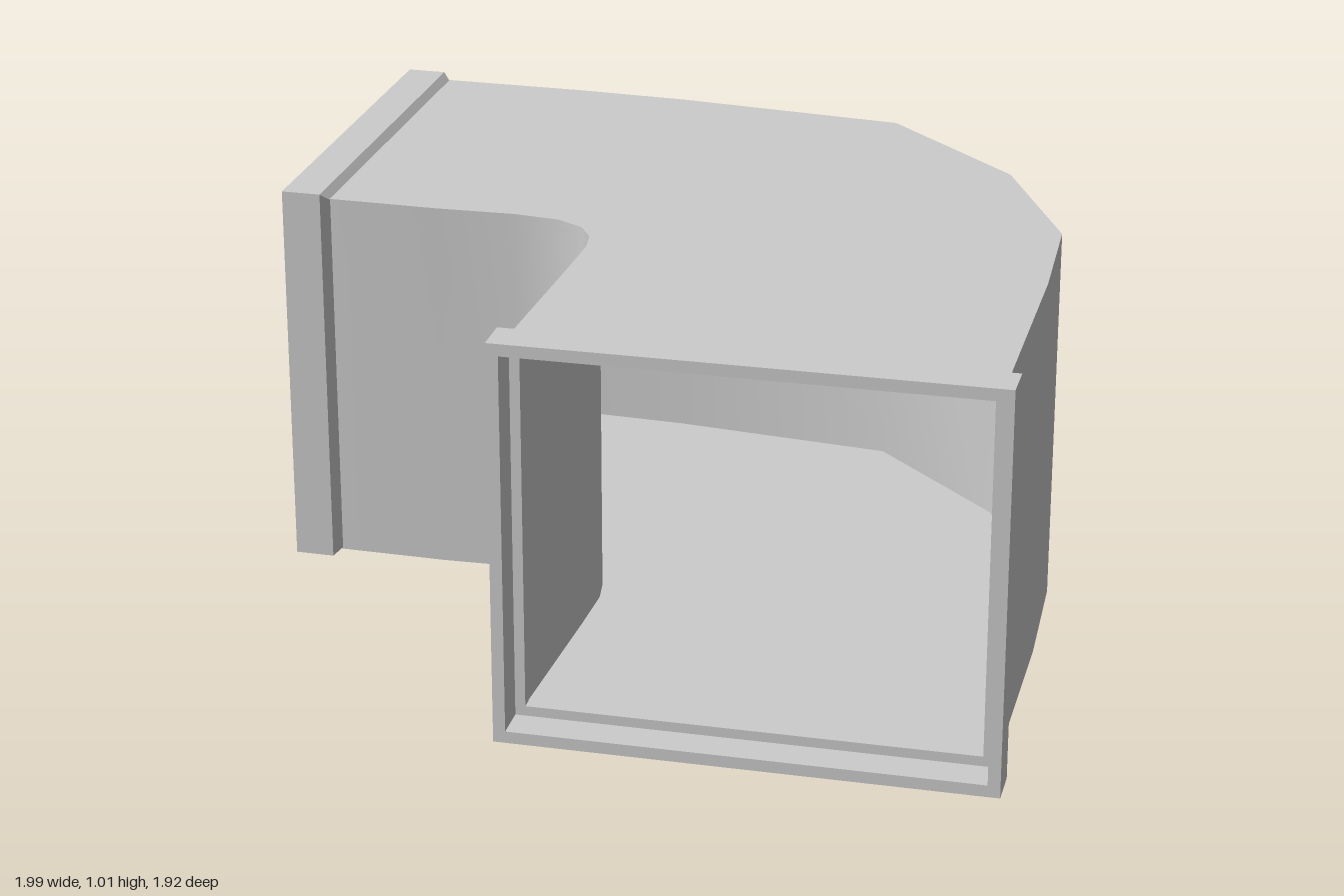
import * as THREE from 'three';
import { toCreasedNormals } from 'three/addons/utils/BufferGeometryUtils.js';

const material = new THREE.MeshStandardMaterial({ color: 0xcccccc });
const FLOOR = 0.025, CEILING = 0.995, SHEET = 0.025;

// Plan curves of the duct, as [x, z], from the left-hand end to the front end
const outerBend = [[-0.89, -0.95], [-0.5, -0.945], [-0.2, -0.93], [0.4, -0.865],
  [0.76, -0.52], [0.95, -0.11], [0.965, 0.24], [0.965, 0.85]];
const innerBend = [[-0.89, 0.06], [-0.6, 0.066], [-0.4, 0.061], [-0.28, 0.075], [-0.21, 0.115],
  [-0.175, 0.175], [-0.165, 0.24], [-0.17, 0.4], [-0.19, 0.85]];

// Shift a plan curve sideways, mitred at its corners
function offset(points, t) {
  const normal = (a, b) => new THREE.Vector2(a[1] - b[1], b[0] - a[0]).normalize();
  return points.map((p, i) => {
    const n1 = normal(points[Math.max(i - 1, 0)], points[Math.max(i, 1)]);
    const last = points.length - 1;
    const n2 = normal(points[Math.min(i, last - 1)], points[Math.min(i + 1, last)]);
    const n = n1.clone().add(n2).normalize();
    n.multiplyScalar(t / n.dot(n1));
    return [p[0] + n.x, p[1] + n.y];
  });
}

// Vertical prism between two plan curves
function prism(name, a, b, y, height) {
  const outline = [...a, ...[...b].reverse()].map(([x, z]) => new THREE.Vector2(x, -z));
  const geometry = new THREE.ExtrudeGeometry(new THREE.Shape(outline), { depth: height, bevelEnabled: false });
  geometry.rotateX(-Math.PI / 2).translate(0, y, 0);
  const mesh = new THREE.Mesh(toCreasedNormals(geometry, 0.75), material);
  mesh.name = name;
  return mesh;
}

// Rectangular flange: a closed [inset, depth] profile swept round four mitred corners
function flange(name, width, height) {
  const profile = [[0, 0], [0, -0.1], [0.018, -0.12], [0.055, -0.12], [0.055, -0.09], [0.03, -0.09], [0.03, 0]];
  const corners = [[-1, -1], [1, -1], [1, 1], [-1, 1]];
  const at = ([inset, depth], [sx, sy]) => [sx * (width / 2 - inset), sy * (height / 2 - inset), depth];
  const positions = [];
  profile.forEach((p, i) => {
    const q = profile[(i + 1) % profile.length];
    corners.forEach((c, j) => {
      const d = corners[(j + 1) % 4];
      const [A, B, C, D] = [at(p, c), at(q, c), at(q, d), at(p, d)];
      positions.push(...A, ...B, ...C, ...A, ...C, ...D);
    });
  });
  const geometry = new THREE.BufferGeometry();
  geometry.setAttribute('position', new THREE.Float32BufferAttribute(positions, 3));
  geometry.computeVertexNormals();
  const mesh = new THREE.Mesh(geometry, material);
  mesh.name = name;
  return mesh;
}

export function createModel() {
  const group = new THREE.Group();
  group.name = 'ductElbow';

  // Sheet walls, floor and ceiling of the hollow bend
  const height = CEILING - FLOOR;
  group.add(
    prism('outerWall', outerBend, offset(outerBend, SHEET), FLOOR, height),
    prism('innerWall', innerBend, offset(innerBend, -SHEET), FLOOR, height),
    prism('floorPanel', outerBend, innerBend, FLOOR, SHEET),
    prism('ceilingPanel', outerBend, innerBend, CEILING - SHEET, SHEET),
  );

  // Flanges round the two open ends
  const front = flange('frontFlange', 1.21, 1.015);
  front.position.set(0.39, 0.5075, 0.96);
  const side = flange('sideFlange', 1.045, 1.0);
  side.position.set(-0.992, 0.512, -0.4425);
  side.rotation.y = -(Math.PI / 2 + 0.0145);
  group.add(front, side);
  return group;
}
